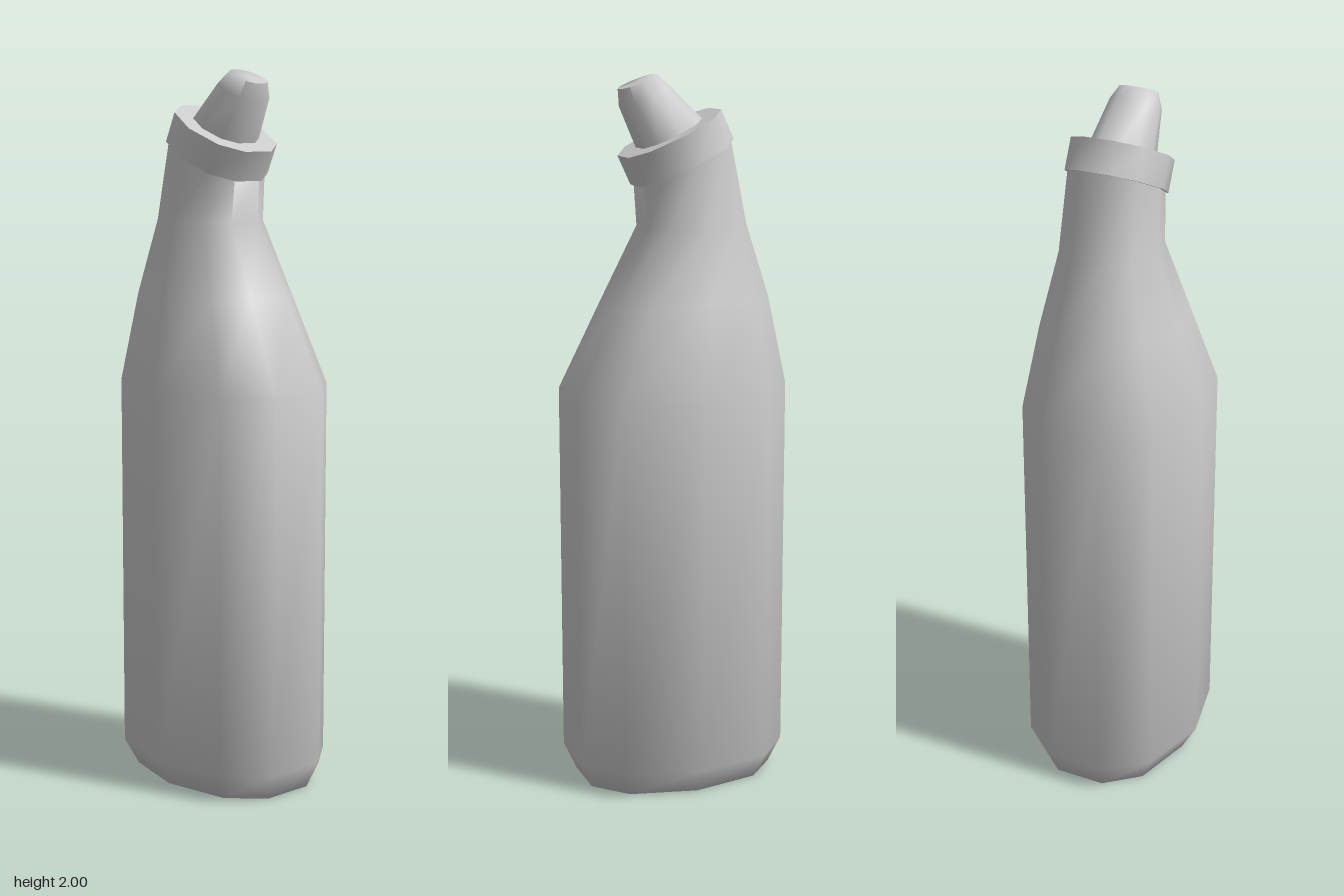
import * as THREE from 'three';
import { toCreasedNormals } from 'three/addons/utils/BufferGeometryUtils.js';

// Ten-sided outline shared by every ring: [x, z] as fractions of the half sizes
const quarter = [[1, 0], [0.8, 0.69], [0.355, 1]];
const outline = [
  ...quarter,
  [-0.355, 1], [-0.8, 0.69], [-1, 0], [-0.8, -0.69], [-0.355, -1],
  [0.355, -1], [0.8, -0.69],
];

// Loft through rings given as [half width, front z, front y, back z, back y]
function loft(rings) {
  const n = outline.length;
  const pos = [];
  const index = [];
  for (const [w, zf, yf, zb, yb] of rings) {
    for (const [x, s] of outline) {
      const t = (s + 1) / 2;
      pos.push(x * w, yb + (yf - yb) * t, zb + (zf - zb) * t);
    }
  }
  const centre = ([, zf, yf, zb, yb]) => pos.push(0, (yf + yb) / 2, (zf + zb) / 2);
  const last = (rings.length - 1) * n;
  const bottom = rings.length * n;
  centre(rings[0]);
  centre(rings[rings.length - 1]);
  for (let i = 0; i < n; i++) {
    const j = (i + 1) % n;
    for (let k = 0; k < last; k += n) {
      index.push(k + i, k + n + i, k + j, k + j, k + n + i, k + n + j);
    }
    index.push(bottom, i, j, bottom + 1, last + j, last + i);
  }
  const geometry = new THREE.BufferGeometry();
  geometry.setAttribute('position', new THREE.Float32BufferAttribute(pos, 3));
  geometry.setIndex(index);
  return toCreasedNormals(geometry, 1.25);
}

export function createModel() {
  const model = new THREE.Group();
  model.name = 'bottle';
  const material = new THREE.MeshStandardMaterial({ color: 0xcccccc });
  const add = (name, rings, parent) => {
    const mesh = new THREE.Mesh(loft(rings), material);
    mesh.name = name;
    parent.add(mesh);
  };

  // Oval body whose shoulders lean back into a tilted neck
  add('body', [
    [0.205, 0.275, 0, -0.272, 0],
    [0.248, 0.308, 0.075, -0.305, 0.075],
    [0.248, 0.308, 1.135, -0.305, 1.14],
    [0.189, 0.19, 1.38, -0.26, 1.38],
    [0.135, 0.09, 1.585, -0.198, 1.59],
    [0.125, 0.1, 1.715, -0.15, 1.83],
  ], model);

  // Closure tipped forward on the neck
  const closure = new THREE.Group();
  closure.name = 'closure';
  closure.position.set(0, 1.759, -0.026);
  closure.rotation.x = THREE.MathUtils.degToRad(25);
  model.add(closure);

  add('collar', [
    [0.133, 0.147, 0, -0.147, 0],
    [0.133, 0.147, 0.088, -0.147, 0.088],
  ], closure);

  // Nozzle with a nearly straight front and a sloping back
  add('nozzle', [
    [0.087, 0.095, 0.08, -0.095, 0.08],
    [0.069, 0.093, 0.21, -0.045, 0.21],
    [0.05, 0.078, 0.255, -0.028, 0.248],
  ], closure);

  return model;
}
